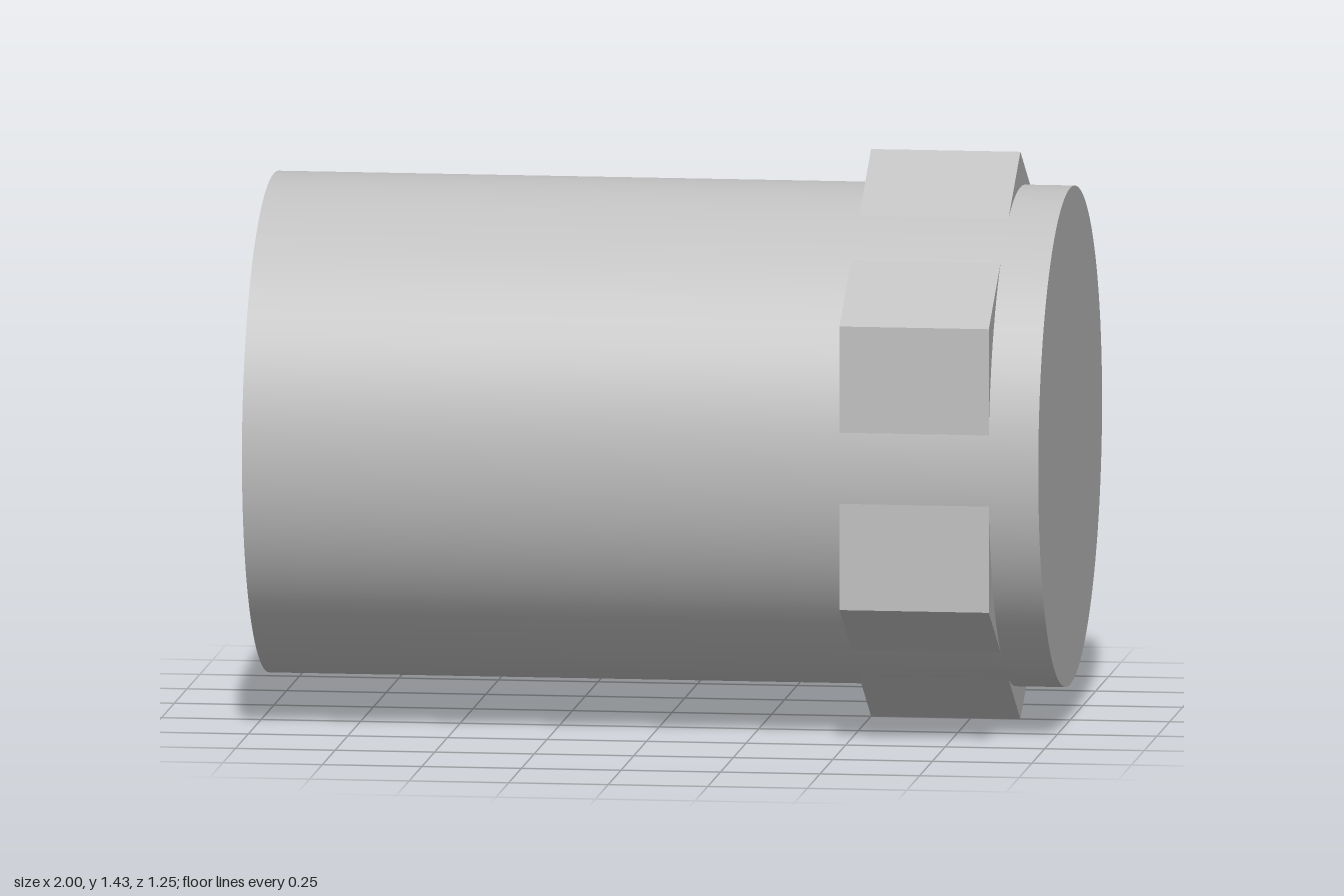
import * as THREE from 'three';

const AXIS_Y = 0.715;

export function createModel() {
  const group = new THREE.Group();
  group.name = 'hexCollarBarrel';
  const metal = new THREE.MeshStandardMaterial({ color: 0xc0c0c0 });
  metal.name = 'light grey metal';

  // Lays a part along x, centred on the shared axis
  const addPart = (name, geometry, x) => {
    geometry.rotateZ(-Math.PI / 2);
    const mesh = new THREE.Mesh(geometry, metal);
    mesh.name = name;
    mesh.position.set(x, AXIS_Y, 0);
    group.add(mesh);
  };

  // Smooth round barrel, full length
  addPart('barrel', new THREE.CylinderGeometry(0.625, 0.625, 2, 96), 0);

  // Six-sided collar with corners up and down; its flats sit just below the barrel surface
  const hex = new THREE.CylinderGeometry(0.714, 0.714, 0.375, 6, 1, false, Math.PI / 2).toNonIndexed();
  hex.computeVertexNormals();
  addPart('hexCollar', hex, 0.6875);

  return group;
}
